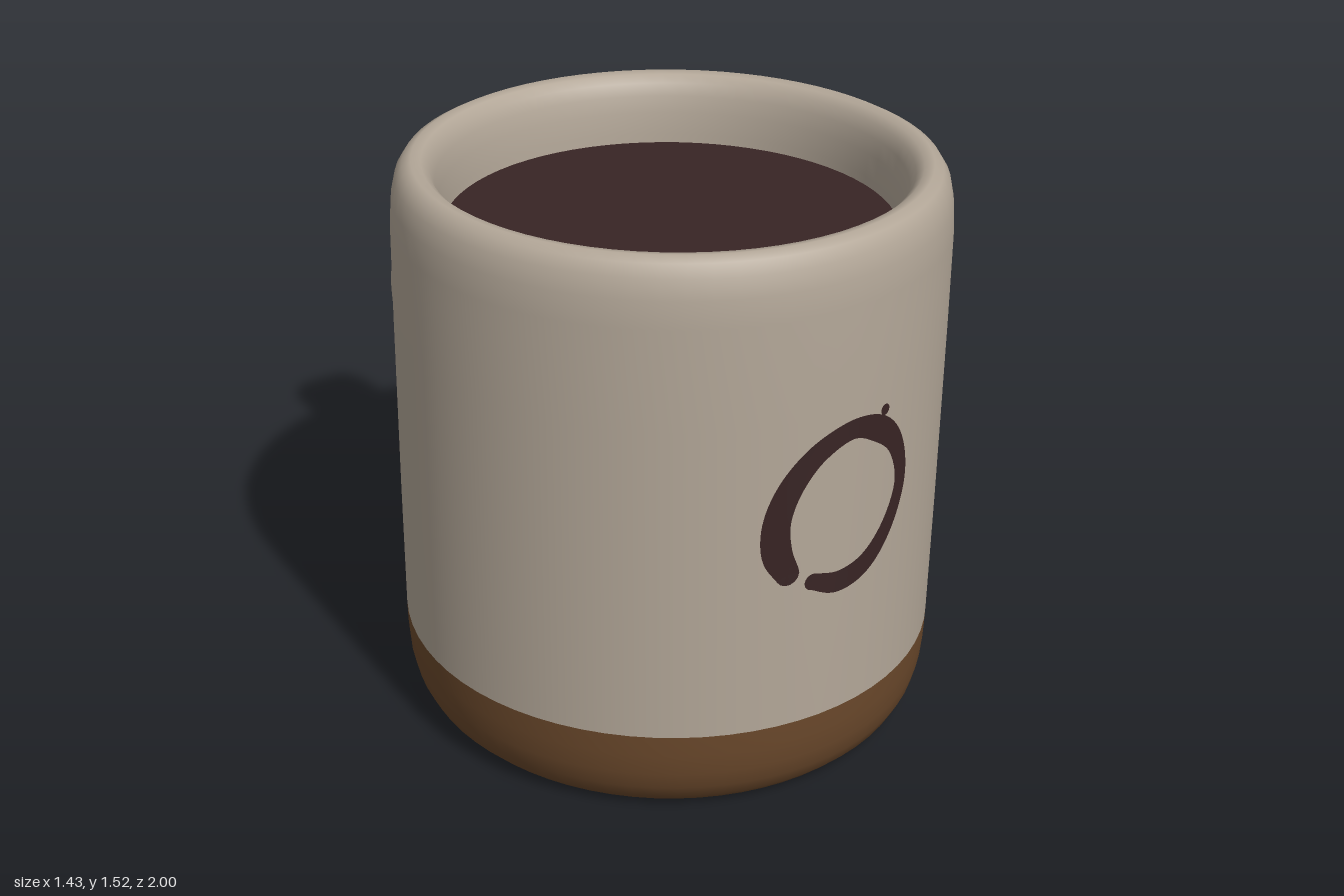
import * as THREE from 'three';

const CENTER_Z = 0.28; // axis of the cup
const RADIUS = 0.715;

const material = (name, color, side = THREE.FrontSide) => {
  const m = new THREE.MeshStandardMaterial({ color, side });
  m.name = name;
  return m;
};

const mesh = (name, geometry, mat) => {
  const m = new THREE.Mesh(geometry, mat);
  m.name = name;
  return m;
};

const lathe = (points) =>
  new THREE.LatheGeometry(points.map(([r, y]) => new THREE.Vector2(r, y)), 72).translate(0, 0, CENTER_Z);

// Grid of points joined into a smooth surface; wrap closes each row into a loop
function gridGeometry(rows, wrap) {
  const n = rows[0].length;
  const index = [];
  for (let i = 0; i < rows.length - 1; i++) {
    for (let j = 0; j < (wrap ? n : n - 1); j++) {
      const k = (j + 1) % n;
      const a = i * n + j, b = i * n + k, c = a + n, d = b + n;
      index.push(a, c, b, b, c, d);
    }
  }
  const g = new THREE.BufferGeometry().setFromPoints(rows.flat());
  g.setIndex(index);
  g.computeVertexNormals();
  return g;
}

// Rounded-rectangle sections swept along the handle: [z, y, half thickness, half width]
function handleGeometry() {
  const stations = [
    [-0.36, 1.18, 0.15, 0.175], [-0.43, 1.18, 0.136, 0.157], [-0.5, 1.205, 0.106, 0.142],
    [-0.62, 1.22, 0.092, 0.13], [-0.75, 1.175, 0.09, 0.125], [-0.85, 1.06, 0.086, 0.122],
    [-0.9, 0.92, 0.083, 0.12], [-0.916, 0.76, 0.083, 0.12], [-0.89, 0.6, 0.086, 0.12],
    [-0.83, 0.46, 0.092, 0.122], [-0.74, 0.37, 0.097, 0.125], [-0.62, 0.33, 0.102, 0.13],
    [-0.5, 0.325, 0.105, 0.138], [-0.43, 0.325, 0.113, 0.152], [-0.36, 0.325, 0.122, 0.168],
  ];
  const path = new THREE.CatmullRomCurve3(stations.map(([z, y]) => new THREE.Vector3(0, y, z)));
  const size = new THREE.CatmullRomCurve3(stations.map(([, , t, w]) => new THREE.Vector3(w, t, 0)));
  const round = (v) => Math.sign(v) * Math.abs(v) ** 0.75;
  const rows = [];
  for (let i = 0; i <= 70; i++) {
    const p = path.getPoint(i / 70), t = path.getTangent(i / 70), s = size.getPoint(i / 70);
    const row = [];
    for (let j = 0; j < 28; j++) {
      const a = (j / 28) * Math.PI * 2;
      const out = s.y * round(Math.sin(a));
      row.push(new THREE.Vector3(s.x * round(Math.cos(a)), p.y - t.z * out, p.z + t.y * out));
    }
    rows.push(row);
  }
  return gridGeometry(rows, true);
}

// Lays a flat x, y point onto the front of the cup wall
const onWall = (x, y, r = RADIUS + 0.004) => new THREE.Vector3(x, y, CENTER_Z + Math.sqrt(r * r - x * x));

// Open brush-stroke ring: [x, y, half width]
function ringGeometry() {
  const stroke = [
    [-0.105, 0.652, 0.022], [-0.03, 0.63, 0.03], [0.06, 0.652, 0.03], [0.14, 0.73, 0.026],
    [0.182, 0.84, 0.023], [0.152, 0.95, 0.028], [0.085, 1.015, 0.034], [0, 1.042, 0.027],
    [-0.1, 1.008, 0.03], [-0.17, 0.935, 0.034], [-0.207, 0.84, 0.036], [-0.203, 0.75, 0.038],
    [-0.175, 0.69, 0.031],
  ];
  const path = new THREE.CatmullRomCurve3(stroke.map(([x, y]) => new THREE.Vector3(x, y, 0)));
  const width = new THREE.CatmullRomCurve3(stroke.map(([, , w], i) => new THREE.Vector3(i, w, 0)));
  const rows = [];
  for (let i = 0; i <= 80; i++) {
    const p = path.getPoint(i / 80), t = path.getTangent(i / 80), w = width.getPoint(i / 80).y;
    rows.push([-1, -0.33, 0.33, 1].map((k) => onWall(p.x - t.y * w * k, p.y + t.x * w * k)));
  }
  return gridGeometry(rows, false);
}

// Round dab of paint on the wall
function dabGeometry(x, y, r) {
  const g = new THREE.CircleGeometry(r, 14);
  const pos = g.attributes.position;
  for (let i = 0; i < pos.count; i++) {
    const p = onWall(x + pos.getX(i), y + pos.getY(i));
    pos.setXYZ(i, p.x, p.y, p.z);
  }
  g.computeVertexNormals();
  return g;
}

export function createModel() {
  const glaze = material('greyGlaze', 0xb3a798);
  const clay = material('brownClay', 0x6a482b);
  const dark = material('darkCoffee', 0x382424, THREE.DoubleSide);

  const mug = new THREE.Group();
  mug.name = 'mug';

  // Glazed wall, rounded rim and inside
  mug.add(mesh('glazedWall', lathe([
    [0.715, 0.247], [0.716, 0.6], [0.715, 1.1], [0.713, 1.36], [0.708, 1.43], [0.697, 1.48],
    [0.678, 1.51], [0.655, 1.522], [0.63, 1.517], [0.61, 1.498], [0.597, 1.465], [0.588, 1.42],
    [0.582, 1.36], [0.58, 1.29],
  ]), glaze));

  // Bare clay foot
  mug.add(mesh('clayBase', lathe([
    [0, 0.002], [0.6, 0.002], [0.625, 0.003], [0.65, 0.012], [0.677, 0.04], [0.697, 0.08],
    [0.709, 0.13], [0.714, 0.19], [0.715, 0.247],
  ]), clay));

  // Drink surface
  mug.add(mesh('coffee', new THREE.CircleGeometry(0.584, 72).rotateX(-Math.PI / 2).translate(0, 1.335, CENTER_Z), dark));

  mug.add(mesh('handle', handleGeometry(), glaze));

  // Painted ring, its rounded ends and a stray drop
  mug.add(mesh('paintedRing', ringGeometry(), dark));
  [[-0.105, 0.652, 0.023], [-0.175, 0.69, 0.031], [0.102, 1.06, 0.015]].forEach(([x, y, r], i) => {
    mug.add(mesh(['ringStart', 'ringEnd', 'paintDrop'][i], dabGeometry(x, y, r), dark));
  });

  return mug;
}
